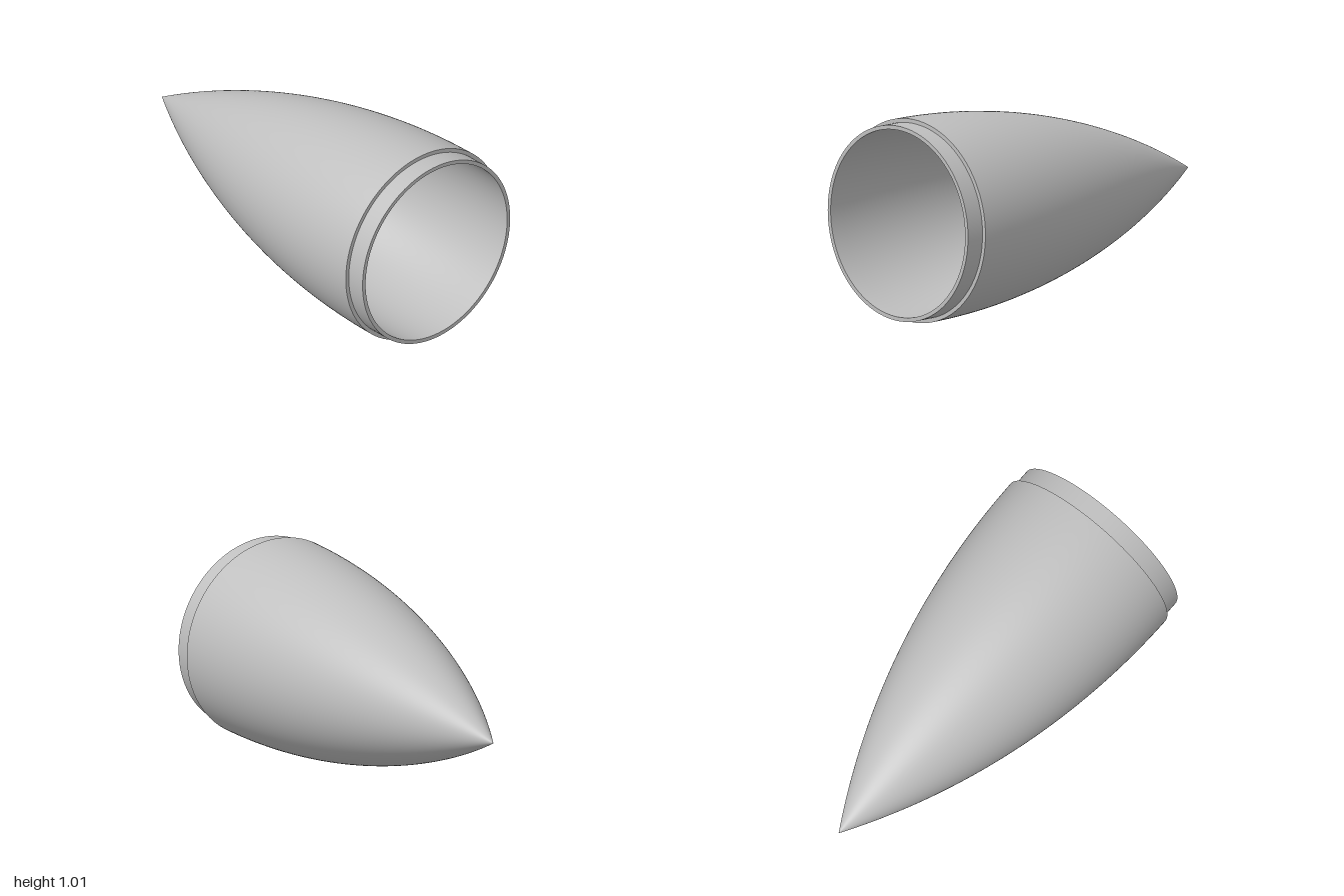
import * as THREE from 'three';

const R = 0.505;                       // base radius of the shell
const L = 1.9;                         // shell length from shoulder to tip
const WALL = 0.04;
const RHO = (R * R + L * L) / (2 * R); // radius of the ogive arc
const SHOULDER = -0.9, RIM = -1;       // positions along the axis (tip at +1)
const COLLAR_R = 0.485, BORE_R = R - WALL;
const INNER_END = 1.737;               // length of the hollow behind the shoulder

// Points on a tangent ogive arc, from the shoulder towards the tip
function ogive(rho, length, steps = 48) {
  const points = [];
  for (let i = 0; i <= steps; i++) {
    const d = (length * i) / steps;
    const r = Math.sqrt(rho * rho - d * d) - (RHO - R);
    points.push(new THREE.Vector2(Math.max(r, 0), SHOULDER + d));
  }
  return points;
}

export function createModel() {
  const group = new THREE.Group();
  group.name = 'noseCone';
  const grey = new THREE.MeshStandardMaterial({ color: 0xbfbfbf });
  grey.name = 'light grey';

  // Each smooth section is its own lathe, so the edges between them stay sharp
  const addLathe = (name, points) => {
    const geometry = new THREE.LatheGeometry(points, 128);
    geometry.rotateX(-Math.PI / 2); // tip towards -z
    const mesh = new THREE.Mesh(geometry, grey);
    mesh.name = name;
    mesh.position.y = R;
    group.add(mesh);
  };
  const line = (r0, y0, r1, y1) => [new THREE.Vector2(r0, y0), new THREE.Vector2(r1, y1)];

  const inner = ogive(RHO - WALL, INNER_END).reverse();

  // Outer shell and stepped collar
  addLathe('outerShell', ogive(RHO, L));
  addLathe('shoulderStep', line(COLLAR_R, SHOULDER, R, SHOULDER));
  addLathe('collar', line(COLLAR_R, RIM, COLLAR_R, SHOULDER));
  addLathe('collarRim', line(BORE_R, RIM, COLLAR_R, RIM));

  // Hollow inside with a small flat end
  addLathe('collarBore', line(BORE_R, SHOULDER, BORE_R, RIM));
  addLathe('innerShell', inner);
  addLathe('innerEnd', line(0, inner[0].y, inner[0].x, inner[0].y));

  return group;
}
